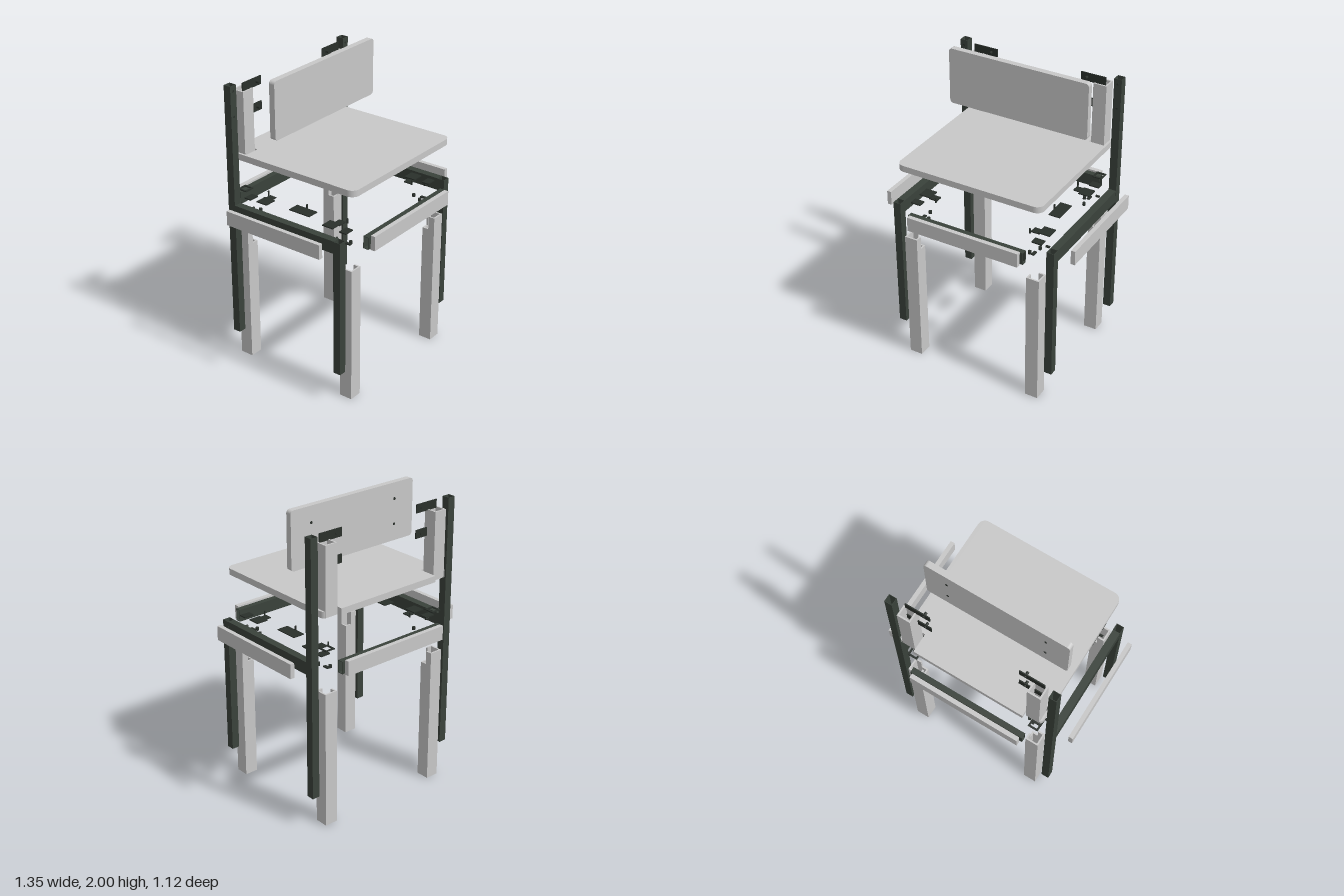
import * as THREE from 'three';

const panel = new THREE.MeshStandardMaterial({ color: 0xc8c8c8 });
panel.name = 'lightGreyPanel';
const steel = new THREE.MeshStandardMaterial({ color: 0x3a423b });
steel.name = 'darkGreenSteel';
const hardware = new THREE.MeshStandardMaterial({ color: 0x2a302b });
hardware.name = 'blackHardware';

export function createModel() {
  const root = new THREE.Group();
  root.name = 'explodedChair';

  const add = (name, geo, mat, x = 0, y = 0, z = 0) => {
    const m = new THREE.Mesh(geo, mat);
    m.name = name;
    m.position.set(x, y, z);
    root.add(m);
    return m;
  };
  // box given by its limits on each axis
  const box = (name, mat, x0, x1, y0, y1, z0, z1) =>
    add(name, new THREE.BoxGeometry(Math.abs(x1 - x0), y1 - y0, Math.abs(z1 - z0)), mat,
      (x0 + x1) / 2, (y0 + y1) / 2, (z0 + z1) / 2);
  const rectPath = (P, w, h) => {
    const p = new P();
    p.moveTo(-w / 2, -h / 2).lineTo(w / 2, -h / 2).lineTo(w / 2, h / 2).lineTo(-w / 2, h / 2).closePath();
    return p;
  };
  // open rectangular tube, centred, running along the given axis
  const tube = (w, h, wall, length, axis) => {
    const s = rectPath(THREE.Shape, w, h);
    s.holes.push(rectPath(THREE.Path, w - 2 * wall, h - 2 * wall));
    const g = new THREE.ExtrudeGeometry(s, { depth: length, bevelEnabled: false });
    g.translate(0, 0, -length / 2);
    if (axis === 'y') g.rotateX(-Math.PI / 2);
    if (axis === 'x') g.rotateY(Math.PI / 2);
    return g;
  };
  // small cylinder along an axis
  const pin = (name, r, length, axis, x, y, z) => {
    const g = new THREE.CylinderGeometry(r, r, length, 12);
    if (axis === 'x') g.rotateZ(Math.PI / 2);
    if (axis === 'z') g.rotateX(Math.PI / 2);
    return add(name, g, hardware, x, y, z);
  };

  // seat outline: rounded corners with square notches at the rear
  const seat = new THREE.Shape();
  seat.moveTo(-0.385, 0.485).lineTo(0.385, 0.485).lineTo(0.385, 0.355).lineTo(0.49, 0.355).lineTo(0.49, 0.46)
    .quadraticCurveTo(0.505, 0.45, 0.505, 0.43).lineTo(0.505, -0.435)
    .absarc(0.455, -0.435, 0.05, 0, -Math.PI / 2, true)
    .lineTo(-0.455, -0.485)
    .absarc(-0.455, -0.435, 0.05, -Math.PI / 2, -Math.PI, true)
    .lineTo(-0.505, 0.43).quadraticCurveTo(-0.505, 0.45, -0.49, 0.46)
    .lineTo(-0.49, 0.355).lineTo(-0.385, 0.355).closePath();
  const seatGeo = new THREE.ExtrudeGeometry(seat, { depth: 0.042, bevelEnabled: false, curveSegments: 8 });
  seatGeo.rotateX(-Math.PI / 2);
  add('seat', seatGeo, panel, 0, 1.424, 0);

  // backrest board with small rounded corners
  const [bx, by, br] = [0.49, 0.19, 0.022];
  const back = new THREE.Shape();
  back.absarc(bx - br, by - br, br, 0, Math.PI / 2)
    .absarc(-bx + br, by - br, br, Math.PI / 2, Math.PI)
    .absarc(-bx + br, -by + br, br, Math.PI, Math.PI * 1.5)
    .absarc(bx - br, -by + br, br, Math.PI * 1.5, Math.PI * 2).closePath();
  add('backrest', new THREE.ExtrudeGeometry(back, { depth: 0.04, bevelEnabled: false, curveSegments: 6 }),
    panel, 0, 1.81, -0.155);

  for (const sx of [-1, 1]) {
    // side rails and their cover boards
    add('sideRail', tube(0.05, 0.082, 0.003, 0.78, 'z'), steel, sx * 0.55, 1.1, 0);
    box('sideCover', panel, sx * 0.648, sx * 0.677, 1.054, 1.15, -0.365, 0.362);

    for (const sz of [-1, 1]) {
      // steel post, tall at the rear
      const top = sz < 0 ? 1.93 : 1.14;
      add(sz < 0 ? 'rearPost' : 'frontPost', tube(0.052, 0.052, 0.003, top - 0.22, 'y'),
        steel, sx * 0.55, (top + 0.22) / 2, sz * 0.413);

      // leg sleeve: full tube below, cut away at the inner corner above
      const lx = sx * 0.442, lz = sz * 0.413, h = 0.045, t = 0.011;
      add('legSleeve', tube(2 * h, 2 * h, t, 0.83, 'y'), panel, lx, 0.415, lz);
      const cut = [[h, h], [-h, h], [-h, 0], [t - h, 0], [t - h, h - t], [h - t, h - t], [h - t, t - h], [0, t - h], [0, -h], [h, -h]];
      const upper = new THREE.ExtrudeGeometry(
        new THREE.Shape(cut.map(([x, z]) => new THREE.Vector2(sx * x, -sz * z))), { depth: 0.09, bevelEnabled: false });
      upper.rotateX(-Math.PI / 2);
      add('legSleeveTop', upper, panel, lx, 0.83, lz);

      // corner brackets on the frame
      box('cornerPlate', hardware, sx * 0.39, sx * 0.47, 1.15, 1.157, sz * 0.22, sz * 0.3);
      box('cornerPlateArm', hardware, sx * 0.34, sx * 0.40, 1.143, 1.15, sz * 0.25, sz * 0.3);
      box('cornerTab', hardware, sx * 0.4, sx * 0.47, 1.145, 1.153, sz * 0.35, sz * 0.4);
      box('railEndPlate', hardware, sx * 0.39, sx * 0.41, 1.042, 1.05, sz * 0.345, sz * 0.385);
      pin('sideBolt', 0.008, 0.025, 'x', sx * 0.475, 1.1, sz * 0.33);
      pin('lowerBolt', 0.011, 0.02, 'y', sx * 0.367, 1.04, sz * 0.36);
      pin('lowerBolt', 0.011, 0.02, 'y', sx * 0.4, 1.04, sz * 0.29);
    }

    // middle plate, frame studs and seat screws
    box('middlePlate', hardware, sx * 0.34, sx * 0.42, 1.143, 1.149, -0.08, 0.08);
    for (const z of [-0.312, 0, 0.312]) {
      pin('frameStud', 0.006, 0.032, 'y', sx * 0.34, 1.159, z);
      pin('seatScrew', 0.01, 0.026, 'y', sx * 0.34, 1.39, z);
    }

    // back sleeve, with gasket ring below
    add('backSleeve', tube(0.09, 0.09, 0.011, 0.45, 'y'), panel, sx * 0.439, 1.647, -0.413);
    add('gasketRing', tube(0.07, 0.07, 0.012, 0.006, 'y'), hardware, sx * 0.44, 1.2, -0.415);

    // backrest brackets, bolts and screw holes
    for (const y of [1.895, 1.73]) {
      box('backBracket', hardware, sx * 0.3, sx * 0.47, y - 0.028, y + 0.028, -0.39, -0.383);
      pin('bracketBolt', 0.009, 0.035, 'z', sx * 0.342, y, -0.378);
      pin('backrestHole', 0.009, 0.004, 'z', sx * 0.335, y, -0.156);
      pin('postHole', 0.007, 0.004, 'z', sx * 0.55, y, -0.387);
    }
  }

  // front and rear rails with their cover boards
  for (const sz of [-1, 1]) {
    add(sz > 0 ? 'frontRail' : 'rearRail', tube(0.038, 0.082, 0.003, 0.82, 'x'), steel, 0, 1.1, sz * 0.504);
    box(sz > 0 ? 'frontCover' : 'rearCover', panel, -0.393, 0.393, 1.054, 1.15, sz * 0.528, sz * 0.558);
  }
  return root;
}
